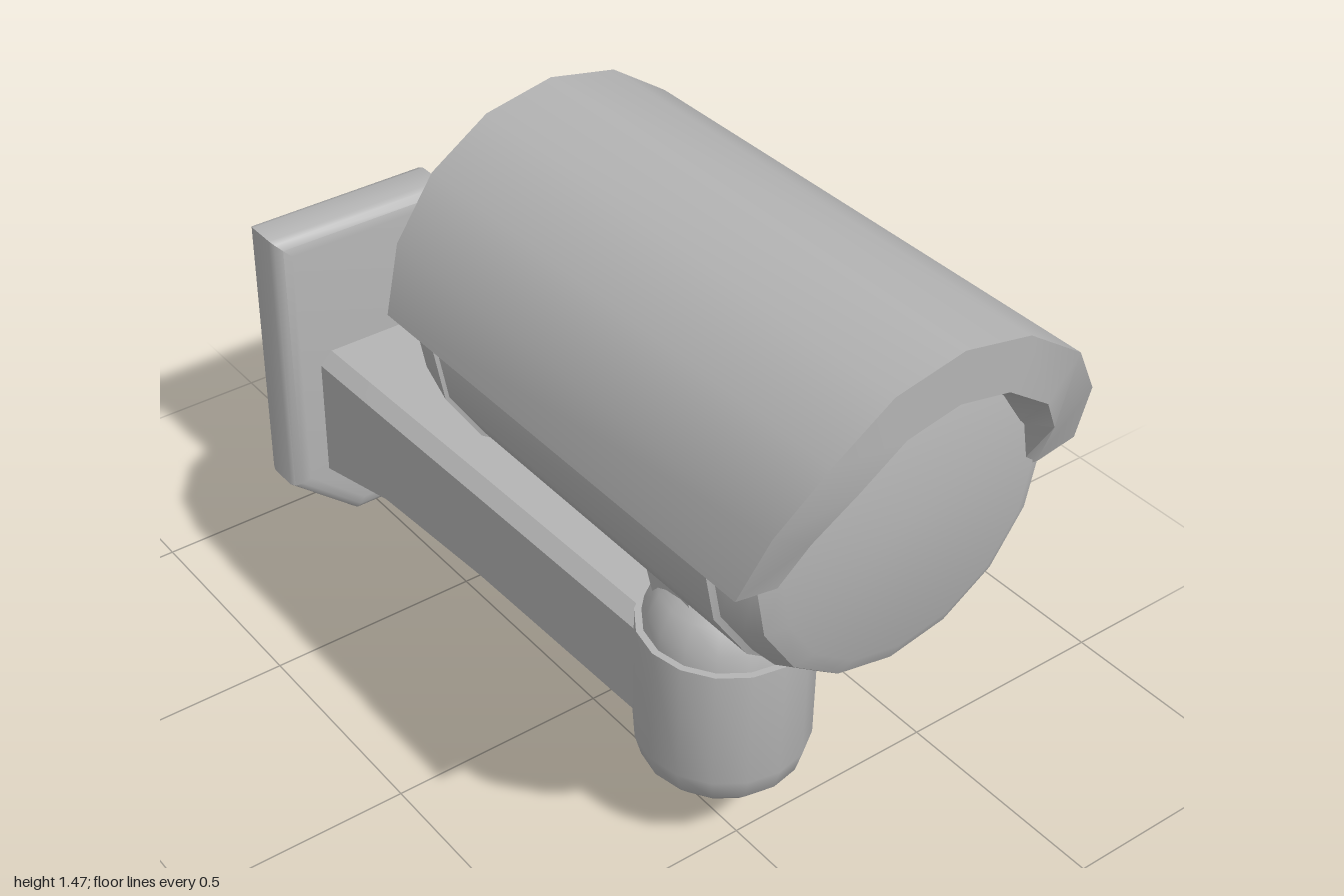
import * as THREE from 'three';
import { toCreasedNormals } from 'three/addons/utils/BufferGeometryUtils.js';

const CREASE = 0.62;

// Skin over a row of equal-length closed loops, with flat end caps
function loft(loops) {
  const n = loops[0].length, last = (loops.length - 1) * n, index = [];
  for (let i = 0; i < loops.length - 1; i++) {
    for (let j = 0; j < n; j++) {
      const k = (j + 1) % n, a = i * n + j, b = i * n + k;
      index.push(a, b, b + n, a, b + n, a + n);
    }
  }
  for (let j = 1; j < n - 1; j++) {
    index.push(0, j + 1, j, last, last + j, last + j + 1);
  }
  const geometry = new THREE.BufferGeometry();
  geometry.setAttribute('position', new THREE.Float32BufferAttribute(loops.flat(2), 3));
  geometry.setIndex(index);
  return geometry;
}

// Turned part from [radius, height] pairs, bottom to top
function lathe(profile, sides) {
  return new THREE.LatheGeometry(profile.map(([r, h]) => new THREE.Vector2(r, h)), sides);
}

export function createModel() {
  const model = new THREE.Group();
  const grey = new THREE.MeshStandardMaterial({ color: 0xb4b4b4 });
  grey.name = 'grey';

  function add(name, geometry, x = 0, y = 0, z = 0) {
    const mesh = new THREE.Mesh(toCreasedNormals(geometry, CREASE), grey);
    mesh.name = name;
    mesh.position.set(x, y, z);
    model.add(mesh);
    return mesh;
  }

  // Camera housing, lying along z, with a rear collar and a rounded front rim
  const housing = lathe([
    [0, -0.115], [0.342, -0.115], [0.368, -0.012], [0.36, -0.01], [0.36, 0.8], [0.348, 0.805],
    [0.343, 0.86], [0.325, 0.895], [0.285, 0.915], [0, 0.915],
  ], 16);
  add('cameraHousing', housing.rotateX(Math.PI / 2), 0, 1.08, 0);

  // Thick sun shield over the upper half, its front edge cut back at both sides
  const shield = [];
  for (let i = 0; i <= 8; i++) {
    const angle = i * Math.PI / 8, c = Math.cos(angle), s = Math.sin(angle);
    const front = [0.915, 0.965, 1][Math.min(i, 8 - i, 2)];
    const point = (r, y, z) => [r * c, y + r * s, z];
    shield.push([
      point(0.385, 1.085, -0.135),
      point(0.3, 1.065, -0.135),
      point(0.265, 1.065, 0.9),
      point(0.295, 1.07, front),
      point(0.385, 1.085, front),
    ]);
  }
  add('sunShield', loft(shield));

  // Tapered block under the housing
  const block = [[0.685, 0.12, 0.23, 0.39], [0.725, 0.165, 0.2, 0.43], [0.77, 0.175, 0.2, 0.43]];
  add('mountBlock', loft(block.map(([y, x, back, front]) => [
    [x, y, back], [-x, y, back], [-x, y, front], [x, y, front],
  ])));

  // Tilted neck between block and joint
  const neck = add('neck', new THREE.BoxGeometry(0.23, 0.14, 0.12), 0, 0.67, 0.385);
  neck.rotation.x = -0.4;

  // Swivel joint: rounded cup and a dome on top
  add('swivelCup', lathe([
    [0, 0.155], [0.09, 0.157], [0.135, 0.175], [0.168, 0.21], [0.182, 0.26],
    [0.182, 0.535], [0, 0.535],
  ], 16), 0, 0, 0.44);
  add('swivelDome', lathe([
    [0.168, 0.53], [0.162, 0.57], [0.138, 0.618], [0.09, 0.657], [0.04, 0.676], [0, 0.68],
  ], 16), 0, 0, 0.44);

  // Arm with chamfered edges, deeper where it meets the wall
  const arm = [
    [-0.9, 0.135, 0.125], [-0.87, 0.135, 0.135], [-0.62, 0.13, 0.195],
    [-0.25, 0.122, 0.213], [0.4, 0.11, 0.215],
  ];
  add('arm', loft(arm.map(([z, w, bottom]) => {
    const c = 0.03, top = 0.488;
    return [
      [w - c, bottom, z], [w, bottom + c, z], [w, top - c, z], [w - c, top, z],
      [c - w, top, z], [-w, top - c, z], [-w, bottom + c, z], [c - w, bottom, z],
    ];
  })));

  // Wall plate with a pointed foot and rounded edges
  const outline = new THREE.Shape([
    [0.185, 0.77], [-0.185, 0.77], [-0.185, 0.158], [-0.045, 0.04], [0.045, 0.04], [0.185, 0.158],
  ].map(([x, y]) => new THREE.Vector2(x, y)));
  add('wallPlate', new THREE.ExtrudeGeometry(outline, {
    depth: 0.07, bevelThickness: 0.03, bevelSize: 0.04, bevelSegments: 3,
  }), 0, 0, -0.97);

  return model;
}
